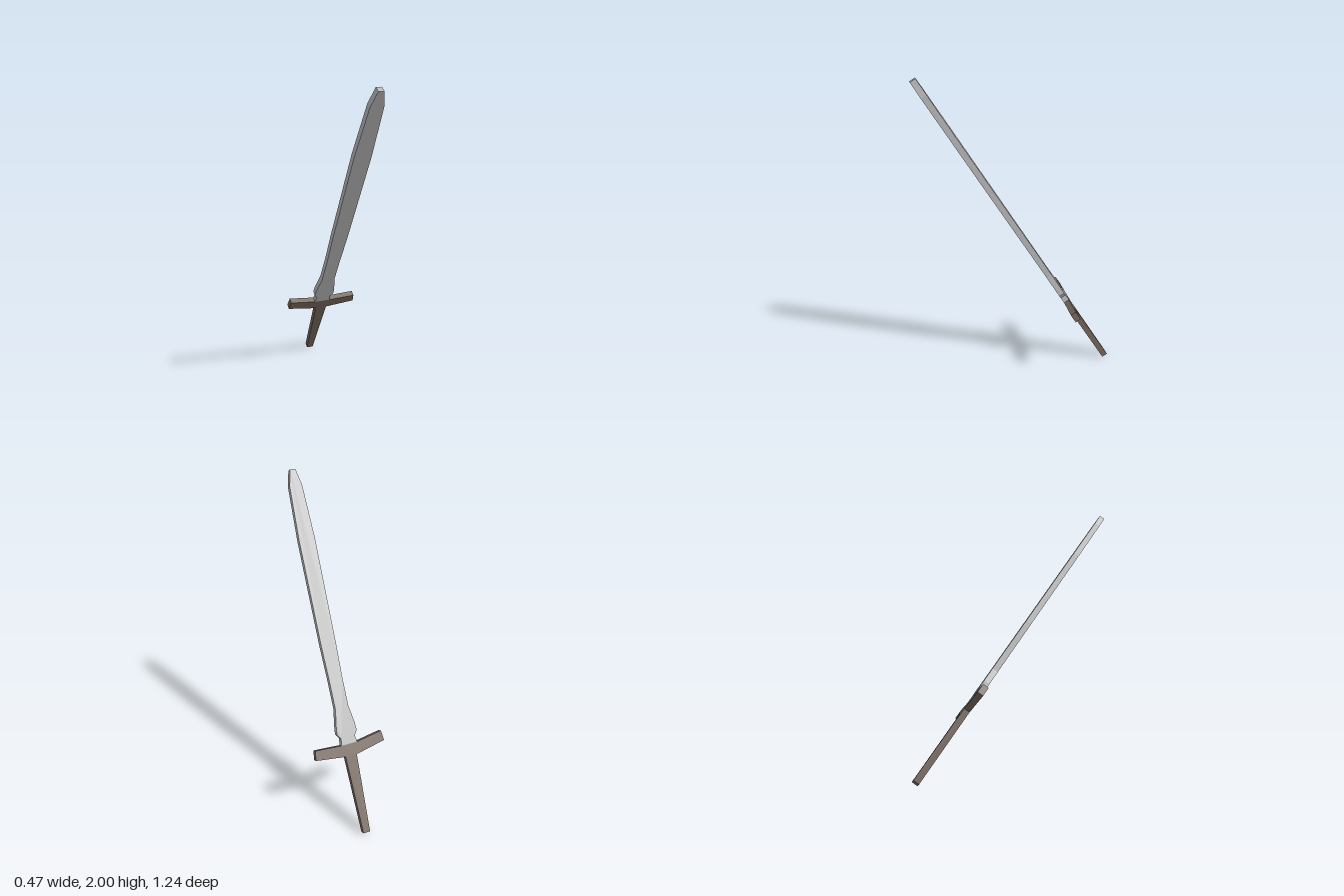
import * as THREE from 'three';

const THICKNESS = 0.038;
const TILT = 0.548; // lean of the whole sword towards the front

// Flat slab of even thickness, centred on z = 0, from an outline of [x, y] points
function slab(name, outline, material) {
  const shape = new THREE.Shape(outline.map(([x, y]) => new THREE.Vector2(x, y)));
  const geometry = new THREE.ExtrudeGeometry(shape, { depth: THICKNESS, bevelEnabled: false });
  geometry.translate(0, 0, -THICKNESS / 2);
  const mesh = new THREE.Mesh(geometry, material);
  mesh.name = name;
  return mesh;
}

export function createModel() {
  const steel = new THREE.MeshStandardMaterial({ color: 0xb8b8b8 });
  steel.name = 'steel';
  const brown = new THREE.MeshStandardMaterial({ color: 0x74665b });
  brown.name = 'brown';

  // Blade stations from guard to tip: [height, left edge x, right edge x]
  const stations = [
    [-0.583, -0.056, 0.051],
    [-0.54, -0.049, 0.045],
    [-0.51, -0.069, 0.066],
    [-0.455, -0.066, 0.06],
    [-0.35, -0.047, 0.042],
    [-0.17, -0.046, 0.043],
    [0.06, -0.051, 0.048],
    [0.72, -0.056, 0.049],
    [1.06, -0.044, 0.037],
    [1.16, -0.021, 0.013],
  ];
  const bladeOutline = [
    ...stations.map(([y, , right]) => [right, y]),
    ...stations.map(([y, left]) => [left, y]).reverse(),
  ];

  // Cross guard, with arms bent slightly towards the blade
  const guardOutline = [
    [-0.037, -0.66], [0.039, -0.658], [0.234, -0.632], [0.227, -0.571],
    [0.051, -0.583], [-0.056, -0.583], [-0.23, -0.556], [-0.238, -0.62],
  ];

  // Grip, narrowing to the end
  const gripOutline = [
    [-0.019, -1.16], [0.026, -1.16], [0.039, -0.658], [-0.037, -0.66],
  ];

  const sword = new THREE.Group();
  sword.name = 'sword';
  sword.add(
    slab('blade', bladeOutline, steel),
    slab('guard', guardOutline, brown),
    slab('grip', gripOutline, brown),
  );
  sword.rotation.x = TILT;
  sword.position.y = 1;

  const model = new THREE.Group();
  model.name = 'tiltedSword';
  model.add(sword);
  return model;
}
